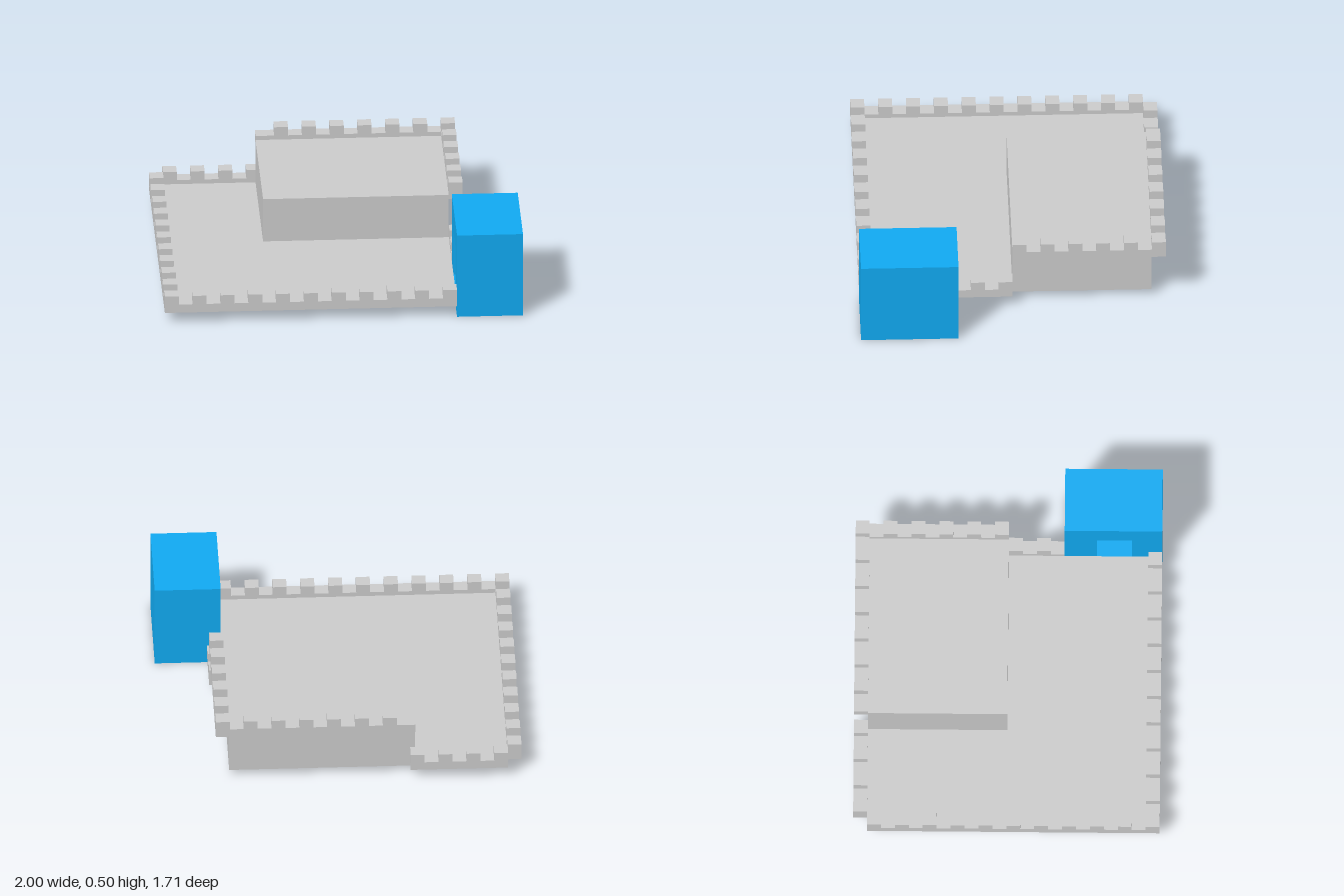
import * as THREE from 'three';

const U = 0.0777; // width of one merlon
const grey = new THREE.MeshStandardMaterial({ color: 0xcccccc });
const blue = new THREE.MeshStandardMaterial({ color: 0x11aaf2 });

// Box given by its minimum and maximum corners
function block(parent, name, [x0, y0, z0], [x1, y1, z1], material = grey) {
  const mesh = new THREE.Mesh(new THREE.BoxGeometry(x1 - x0, y1 - y0, z1 - z0), material);
  mesh.position.set((x0 + x1) / 2, (y0 + y1) / 2, (z0 + z1) / 2);
  mesh.name = name;
  parent.add(mesh);
}

// Battlement along x or z: solid course from start to end, a merlon every second unit from first
function parapet(parent, name, axis, side, start, end, first, y) {
  const group = new THREE.Group();
  group.name = name;
  const piece = (label, a, b, y0, y1) => axis === 'x'
    ? block(group, label, [a, y0, side], [b, y1, side + U])
    : block(group, label, [side, y0, a], [side + U, y1, b]);
  piece('course', start, end, y, y + 0.05);
  for (let a = first; a + U < end + 0.001; a += 2 * U) piece('merlon', a, a + U, y + 0.05, y + 0.101);
  parent.add(group);
}

export function createModel() {
  const model = new THREE.Group();
  model.name = 'fort';

  const left = -1 + U, right = -1 + 21 * U, edge = 10 * U, keepX = -0.405;

  // Courtyard floor and raised keep at the back corner
  block(model, 'floor', [left, 0.04, -edge], [right, 0.09, edge]);
  block(model, 'keep', [keepX, 0.09, -edge], [right, 0.35, 0]);

  // Courtyard battlements
  const low = 0.065;
  parapet(model, 'frontParapet', 'x', edge, -1, right, -1, low);
  parapet(model, 'sideParapet', 'z', -1, -edge, edge, -edge, low);
  parapet(model, 'backParapet', 'x', -edge - U, left, left + 7 * U, left, low);
  parapet(model, 'gateParapet', 'z', right, 0, 4 * U, 0, low);

  // Keep battlements
  const high = 0.325;
  parapet(model, 'keepBackParapet', 'x', -edge - U, keepX, right + U, left + 8 * U, high);
  parapet(model, 'keepSideParapet', 'z', right, -edge, 0, -edge + U, high);

  // Hollow gatehouse with a doorway into the courtyard
  const gate = new THREE.Group();
  gate.name = 'gatehouse';
  const z0 = 4 * U, z1 = 11 * U, h = 0.5, t = 0.05, x0 = right, x1 = 1;
  block(gate, 'gatehouseFloor', [x0 + t, 0, z0 + t], [x1 - t, 0.09, z1 - t], blue);
  block(gate, 'gatehouseRoof', [x0 + t, h - t, z0 + t], [x1 - t, h, z1 - t], blue);
  block(gate, 'gatehouseOuterWall', [x1 - t, 0, z0], [x1, h, z1], blue);
  block(gate, 'gatehouseBackWall', [x0 + t, 0, z0], [x1 - t, h, z0 + t], blue);
  block(gate, 'gatehouseFrontWall', [x0 + t, 0, z1 - t], [x1 - t, h, z1], blue);

  // Door wall is drawn with z across, then turned to face the courtyard
  const wall = new THREE.Shape([[z0, 0], [z1, 0], [z1, h], [z0, h]].map(p => new THREE.Vector2(...p)));
  wall.holes.push(new THREE.Path(
    [[0.49, 0.09], [0.49, 0.35], [0.685, 0.35], [0.685, 0.09]].map(p => new THREE.Vector2(...p))));
  const doorWall = new THREE.Mesh(
    new THREE.ExtrudeGeometry(wall, { depth: t, bevelEnabled: false }), blue);
  doorWall.rotation.y = -Math.PI / 2;
  doorWall.position.x = x0 + t;
  doorWall.name = 'gatehouseDoorWall';
  gate.add(doorWall);
  model.add(gate);

  return model;
}
